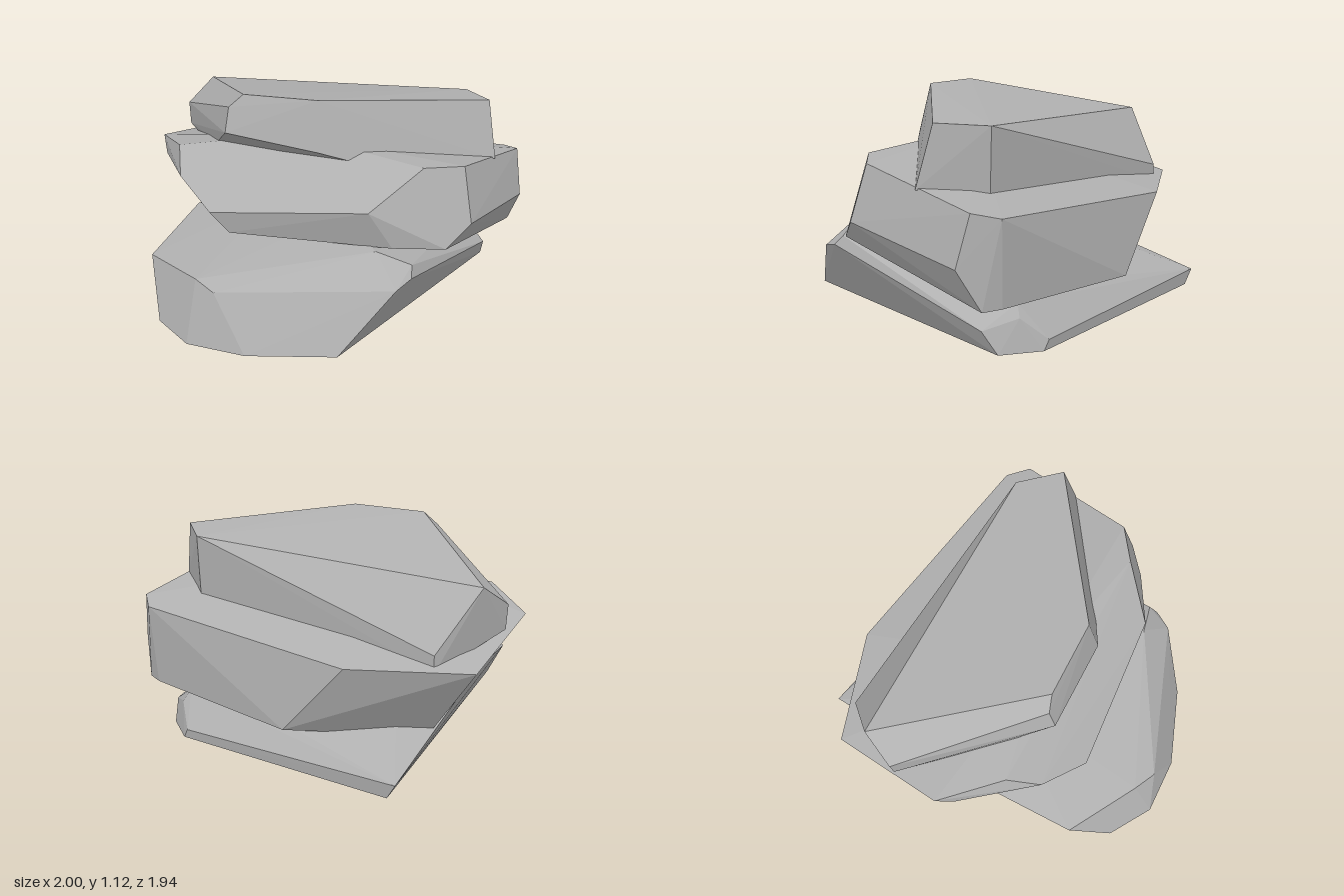
import * as THREE from 'three';
import { ConvexGeometry } from 'three/addons/geometries/ConvexGeometry.js';

const stone = new THREE.MeshStandardMaterial({ color: 0xb0b0b0, side: THREE.DoubleSide });
stone.name = 'grey stone';

// Flat-faced boulder from its corner points
function rock(name, corners) {
  const points = corners.map(c => new THREE.Vector3(...c));
  const mesh = new THREE.Mesh(new ConvexGeometry(points), stone);
  mesh.name = name;
  return mesh;
}

// Remove the triangles lying on the ground, leaving an open shell
function openBase(mesh) {
  const p = mesh.geometry.attributes.position;
  const kept = [];
  for (let i = 0; i < p.count; i += 3) {
    if (Math.max(p.getY(i), p.getY(i + 1), p.getY(i + 2)) < 0.001) continue;
    for (let j = i; j < i + 3; j++) kept.push(p.getX(j), p.getY(j), p.getZ(j));
  }
  const g = new THREE.BufferGeometry();
  g.setAttribute('position', new THREE.Float32BufferAttribute(kept, 3));
  g.computeVertexNormals();
  mesh.geometry = g;
  return mesh;
}

export function createModel() {
  const group = new THREE.Group();
  group.name = 'rockStack';

  // Wedge-shaped bottom rock, hollow underneath
  group.add(openBase(rock('bottomRock', [
    // ground outline
    [-0.14, 0, 0.92], [0.13, 0, 0.97], [0.42, 0, 0.85], [0.76, 0, 0.55],
    [0.65, 0, -0.88], [0.45, 0, -0.97], [-0.79, 0, -0.74],
    // shoulders
    [0.42, 0.05, -0.97], [0.7, 0.11, -0.82], [0.54, 0.16, -0.9], [-0.84, 0.08, -0.74],
    [0.89, 0.3, 0.27], [0.9, 0.33, 0.16],
    // sloping top
    [-0.35, 0.26, 0.78], [0.08, 0.3, 0.85], [0.22, 0.28, 0.86], [-0.57, 0.32, 0.25],
    [0.72, 0.44, 0.22], [0.87, 0.38, 0.12], [0.52, 0.22, -0.86],
    // crest under the middle slab
    [0.3, 0.45, 0.04], [-0.15, 0.42, 0.04], [0.35, 0.26, -0.79], [-0.1, 0.2, -0.76],
  ])));

  // Broad middle slab
  group.add(rock('middleRock', [
    // top
    [-1, 0.56, -0.36], [-0.84, 0.68, 0.26], [-0.5, 0.75, 0.43], [0.8, 0.83, -0.04],
    [0.92, 0.82, -0.22], [0.82, 0.7, -0.9], [0.7, 0.67, -0.97], [-0.52, 0.57, -0.75],
    [0.05, 0.86, 0.09],
    // sides
    [-0.76, 0.6, 0.31], [-0.36, 0.64, 0.55], [-0.08, 0.53, 0.6], [0.68, 0.64, 0.24],
    [1, 0.54, -0.19], [0.88, 0.45, -0.87],
    // underside
    [0, 0.42, 0.54], [0.76, 0.44, 0.14], [0.95, 0.43, -0.05], [0.78, 0.25, -0.93],
    [0.68, 0.25, -0.95], [-0.2, 0.2, -0.85], [-0.665, 0.13, -0.3], [-0.5, 0.24, 0.18],
  ]));

  // Top slab
  group.add(rock('topRock', [
    // top
    [-0.9, 0.92, -0.19], [-0.1, 1.1, 0.32], [0.28, 1.115, 0.17], [0.8, 1.05, -0.6],
    [0.57, 1.03, -0.73], [-0.82, 0.63, -0.45],
    // sides and underside
    [-0.91, 0.8, 0], [-0.16, 1.03, 0.37], [-0.15, 0.9, 0.41], [0.32, 0.86, 0.22],
    [0.2, 0.86, 0.25], [0.42, 0.81, 0.1], [0.88, 0.75, -0.57], [0.57, 0.66, -0.72],
    [-0.9, 0.67, 0], [-0.82, 0.54, -0.45], [-0.36, 0.76, 0.28], [-0.5, 0.66, 0.18],
  ]));

  return group;
}
